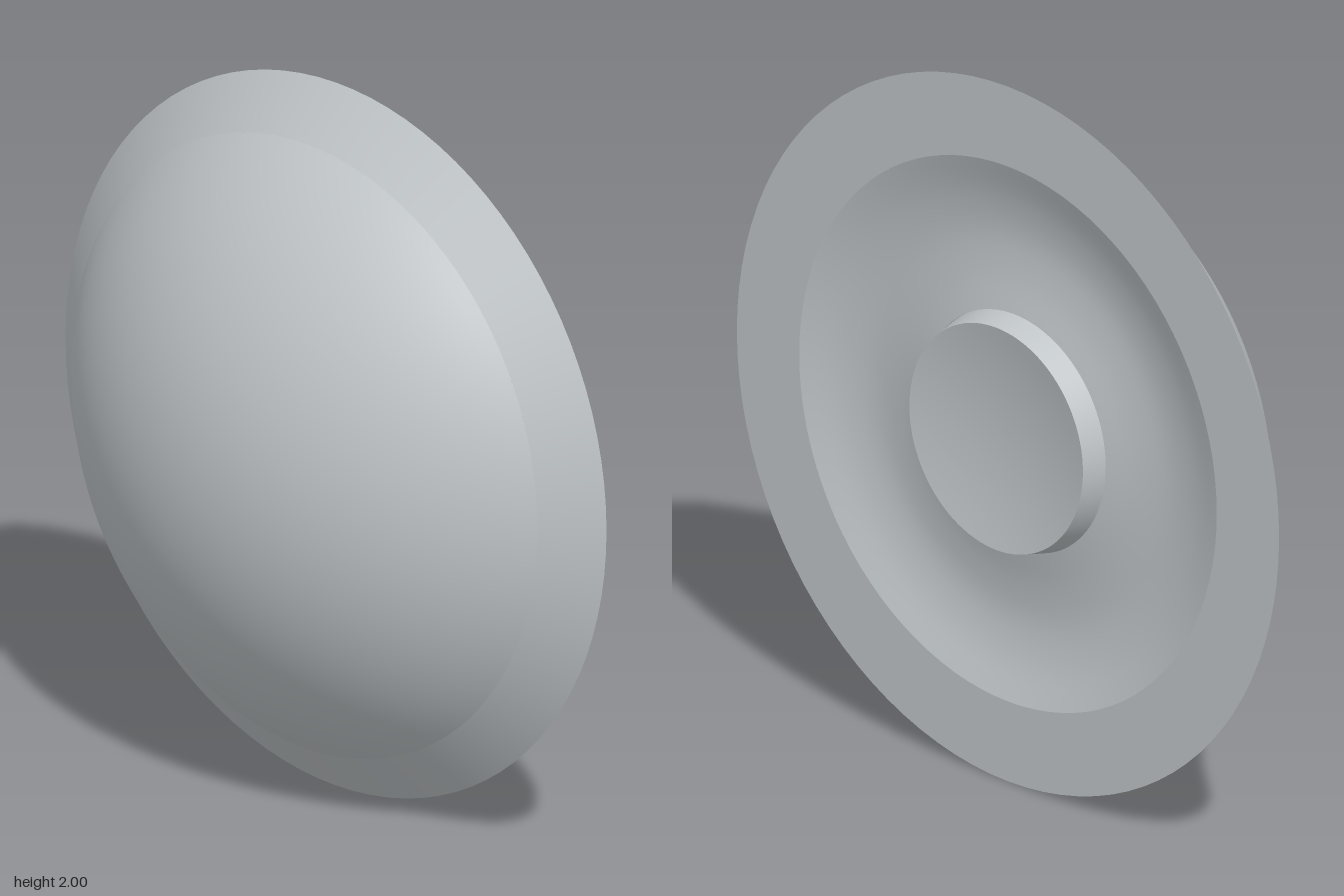
import * as THREE from 'three';

export function createModel() {
  const group = new THREE.Group();
  group.name = 'roundShield';
  const metal = new THREE.MeshStandardMaterial({ color: 0xbfc4c7 });
  metal.name = 'paleSteel';

  // Revolves a [radius, z] profile around the z axis; separate parts keep their shared edges sharp
  const addLathe = (name, profile) => {
    const points = profile.map(([r, z]) => new THREE.Vector2(r, z));
    const geometry = new THREE.LatheGeometry(points, 96);
    geometry.rotateX(Math.PI / 2);
    geometry.translate(0, 1, 0);
    const mesh = new THREE.Mesh(geometry, metal);
    mesh.name = name;
    group.add(mesh);
  };

  const sample = (n, f) => Array.from({ length: n + 1 }, (_, i) => f(i / n));

  // Gently dished cap of the back boss
  addLathe('bossCap', sample(8, (t) => [0.32 * t, -0.25 - 0.03 * t * t]));

  // Tapered wall of the boss
  addLathe('bossWall', [[0.32, -0.28], [0.338, -0.205]]);

  // Shallow ring-shaped hollow around the boss
  const hollow = new THREE.SplineCurve([
    [0.338, -0.212], [0.44, -0.192], [0.55, -0.184], [0.66, -0.2], [0.77, -0.235],
  ].map(([r, z]) => new THREE.Vector2(r, z)));
  addLathe('backHollow', hollow.getPoints(20).map((p) => [p.x, p.y]));

  // Flat back of the rim and its sloping front
  addLathe('rimBack', [[0.77, -0.235], [1, -0.235]]);
  addLathe('rimFront', [[1, -0.235], [0.86, -0.117]]);

  // Spherical front dome
  const radius = 1.13;
  const edge = Math.asin(0.86 / radius);
  addLathe('frontDome', sample(32, (t) => {
    const a = edge * (1 - t);
    return [radius * Math.sin(a), 0.28 - radius + radius * Math.cos(a)];
  }));

  return group;
}
